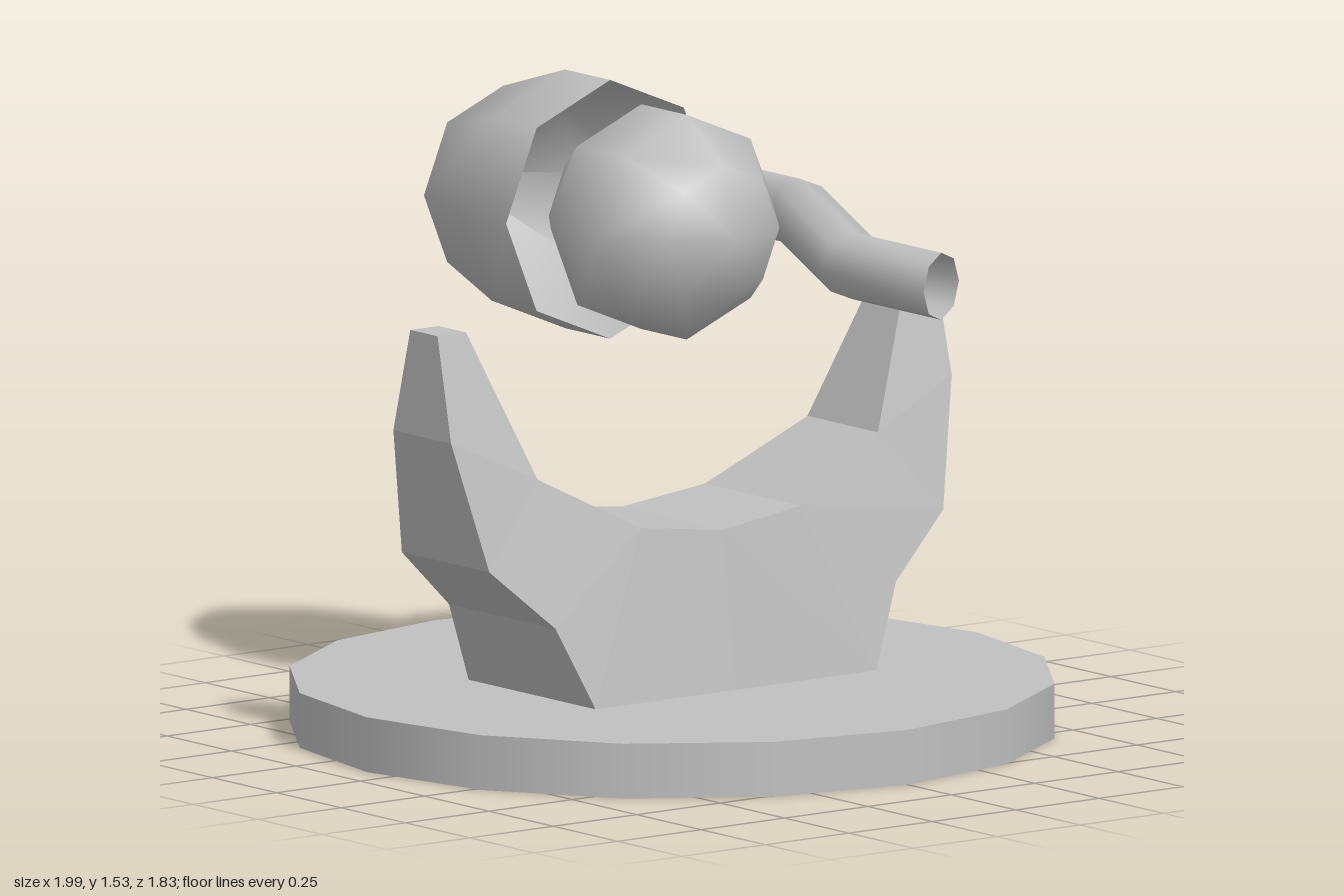
import * as THREE from 'three';

// Skin a series of closed rings of [x, y, z] points
function loft(rings, caps) {
  const n = rings[0].length, index = [];
  for (let i = 0; i < rings.length - 1; i++) {
    for (let j = 0; j < n; j++) {
      const k = (j + 1) % n;
      const a = i * n + j, b = i * n + k, c = b + n, d = a + n;
      index.push(a, b, c, a, c, d);
    }
  }
  if (caps) {
    const e = (rings.length - 1) * n;
    for (let j = 1; j < n - 1; j++) index.push(0, j + 1, j, e, e + j, e + j + 1);
  }
  const g = new THREE.BufferGeometry();
  g.setAttribute('position', new THREE.Float32BufferAttribute(rings.flat(2), 3));
  g.setIndex(index);
  g.computeVertexNormals();
  return g;
}

export function createModel() {
  const group = new THREE.Group();
  const grey = new THREE.MeshStandardMaterial({ color: 0xc0c0c0, side: THREE.DoubleSide });
  grey.name = 'plain grey';

  function add(name, geometry, x = 0, y = 0, z = 0) {
    const mesh = new THREE.Mesh(geometry, grey);
    mesh.name = name;
    mesh.position.set(x, y, z);
    group.add(mesh);
  }

  // Round plinth
  add('base', new THREE.CylinderGeometry(0.915, 0.915, 0.132, 16), -0.085, 0.066, 0);

  // Cradle half: outer z, y, half width, then inner z, y, half width
  const half = [
    [0, 0.13, 0.247, 0, 0.51, 0.195],
    [0.42, 0.13, 0.247, 0.24, 0.54, 0.185],
    [0.51, 0.33, 0.207, 0.24, 0.54, 0.185],
    [0.68, 0.48, 0.17, 0.51, 0.68, 0.137],
    [0.75, 0.79, 0.112, 0.51, 0.68, 0.137],
    [0.745, 1.04, 0.053, 0.66, 1.04, 0.053],
  ];
  const mirrored = half.slice(1).reverse().map(([z, y, w, iz, iy, iw]) => [-z, y, w, -iz, iy, iw]);
  const sections = [...mirrored, ...half].map(([z, y, w, iz, iy, iw]) => [
    [-w, y, z], [w, y, z], [iw, iy, iz], [-iw, iy, iz],
  ]);
  const cradle = loft(sections, true).toNonIndexed();
  cradle.computeVertexNormals();
  add('cradle', cradle, -0.083, 0, 0);

  // Faceted ball with its axis along x
  add('ball', new THREE.SphereGeometry(0.285, 8, 5).rotateZ(Math.PI / 2), -0.116, 1.22, 0);

  // Hollow pointed shell, open towards the ball
  const profile = [[0.312, 0.325], [0.312, 0.5], [0.238, 0.74], [0, 0.985]]
    .map(([r, h]) => new THREE.Vector2(r, h));
  add('pointedShell', new THREE.LatheGeometry(profile, 8).rotateZ(Math.PI / 2), 0, 1.22, 0);

  // Bent open tube with a flared mouth: x, z, radius, slant of the joint
  const joints = [
    [-0.527, -0.333, 0.134, 0],
    [-0.355, -0.333, 0.081, 0],
    [-0.022, -0.333, 0.081, -0.22],
    [0.613, -0.003, 0.081, -0.22],
    [0.957, -0.003, 0.081, 0.45],
  ];
  const rings = joints.map(([x, z, r, slant]) => Array.from({ length: 8 }, (_, i) => {
    const a = i * Math.PI / 4, dz = r * Math.sin(a);
    return [x + slant * dz, r * Math.cos(a), z + dz];
  }));
  add('bentTube', loft(rings, false), 0, 1.22, 0);

  return group;
}
